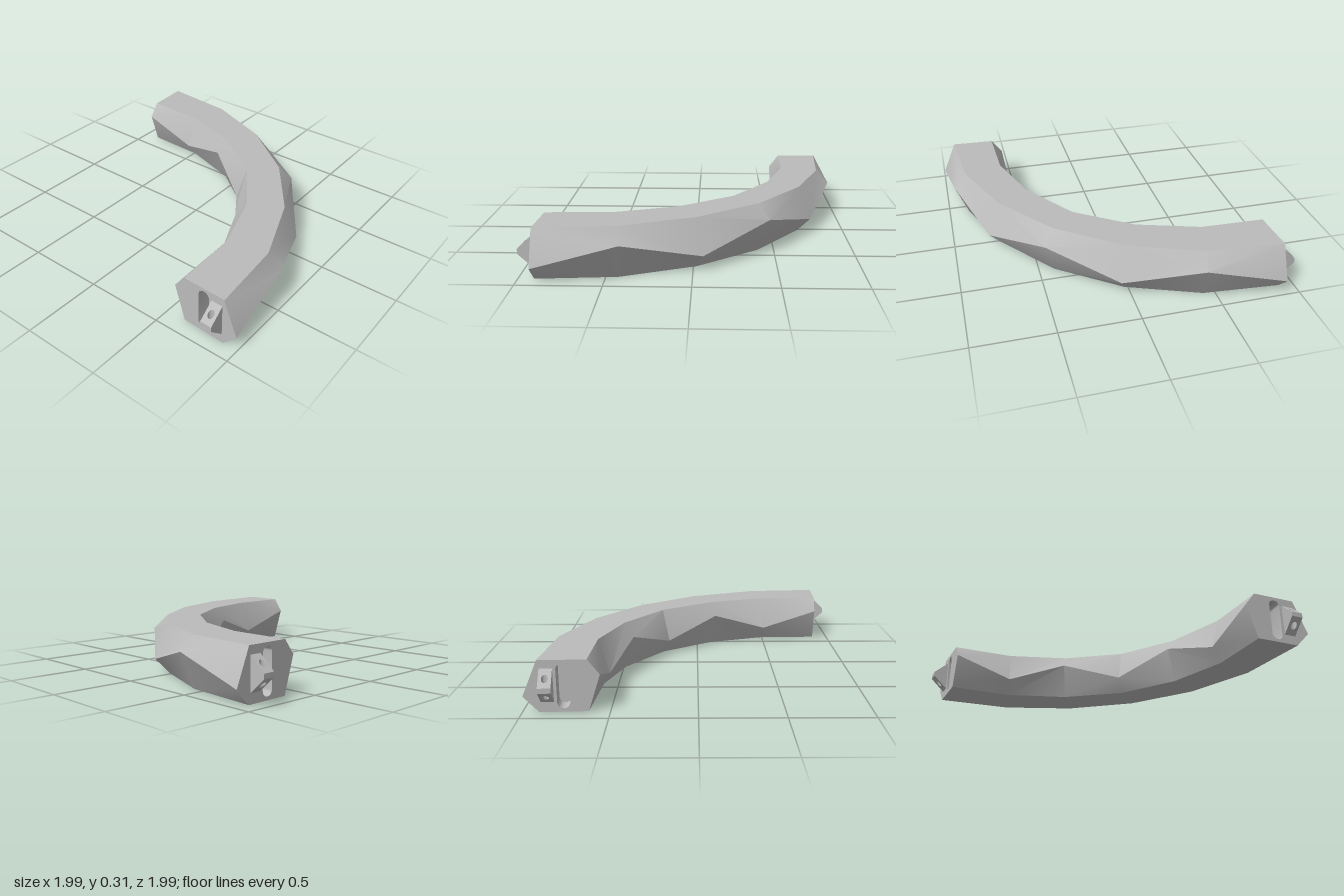
import * as THREE from 'three';
import { toCreasedNormals } from 'three/addons/utils/BufferGeometryUtils.js';

const TOP = 0.31, HIGH = 0.22, LOW = 0.095;
const TILT = 0.0455; // lean of the end faces

// Plan-view lines [x, z] of the curve's first half; the rest mirrors across x = z
const mirrorLine = (half) => [...half, ...half.slice(0, 3).reverse().map(([x, z]) => [z, x])];
const outerEdge = mirrorLine([[-0.91, 0.995], [-0.41, 0.95], [0.06, 0.77], [0.467, 0.467]]);
const outerRim = mirrorLine([[-0.906, 0.905], [-0.428, 0.865], [0.02, 0.69], [0.402, 0.402]]);
const innerRim = mirrorLine([[-0.893, 0.625], [-0.49, 0.612], [-0.1, 0.485], [0.246, 0.246]]);
const innerEdge = mirrorLine([[-0.89, 0.555], [-0.505, 0.545], [-0.135, 0.425], [0.2, 0.2]]);

// Six-sided tube whose side edges zigzag up and down
function bodyGeometry() {
  const pos = [], index = [];
  for (let i = 0; i < 7; i++) {
    const odd = i % 2 === 1;
    const put = ([x, z], y) => pos.push(x, y, z);
    put(innerRim[i], TOP);
    put(outerRim[i], TOP);
    put(outerEdge[i], odd ? HIGH : LOW);
    put(outerRim[i], 0);
    put(innerRim[i], 0);
    put(innerEdge[i], odd ? LOW : HIGH);
  }
  for (let i = 0; i < 6; i++) {
    for (let j = 0; j < 6; j++) {
      const k = (j + 1) % 6;
      const a = i * 6 + j, b = i * 6 + k, c = b + 6, d = a + 6;
      if (i < 3) index.push(a, b, c, a, c, d);
      else index.push(a, b, d, b, c, d);
    }
  }
  const g = new THREE.BufferGeometry();
  g.setAttribute('position', new THREE.Float32BufferAttribute(pos, 3));
  g.setIndex(index);
  return toCreasedNormals(g, 0.5);
}

const polygon = (pts) => new THREE.Shape(pts.map(([x, y]) => new THREE.Vector2(x, y)));

// Upright slot outline with round ends
function slotOutline(x) {
  const r = 0.037, p = new THREE.Shape();
  p.absarc(x, 0.29 - r, r, 0, Math.PI, false);
  p.absarc(x, 0.02 + r, r, Math.PI, Math.PI * 2, false);
  p.closePath();
  return p;
}

// Wedge-shaped tab with a vertical pin hole
function tabGeometry() {
  const w = 0.0375, len = 0.093;
  const shape = polygon([[-w, 0], [w, 0], [w, len], [-w, len]]);
  const hole = new THREE.Path();
  hole.absarc(0, 0.048, 0.019, 0, Math.PI * 2, true);
  shape.holes.push(hole);
  const g = new THREE.ExtrudeGeometry(shape, { depth: 2, bevelEnabled: false, curveSegments: 16 });
  g.translate(0, 0, -1);
  g.rotateX(Math.PI / 2);
  const p = g.attributes.position;
  for (let i = 0; i < p.count; i++) {
    p.setY(i, 0.16 + p.getY(i) * (0.1 - 0.085 * p.getZ(i) / len));
  }
  return toCreasedNormals(g, 0.6);
}

export function createModel() {
  const model = new THREE.Group();
  model.name = 'curvedSegment';
  const grey = new THREE.MeshStandardMaterial({ color: 0xbbbbbb });
  grey.name = 'grey';
  const add = (parent, name, geometry) => {
    const m = new THREE.Mesh(geometry, grey);
    m.name = name;
    parent.add(m);
    return m;
  };

  add(model, 'body', bodyGeometry());

  // Joint ends: local x runs across the face, local z points outward
  for (const s of [1, -1]) {
    const end = new THREE.Group();
    end.name = s > 0 ? 'rightEnd' : 'backEnd';

    const face = polygon([[0.625, TOP], [0.905, TOP], [0.995, LOW], [0.905, 0], [0.625, 0], [0.555, HIGH]]
      .map(([x, y]) => [s * x, y]));
    face.holes.push(slotOutline(s * 0.765));
    add(end, 'endFace', new THREE.ShapeGeometry(face));

    // Slot walls and floor
    const wall = polygon([[0.715, 0.01], [0.815, 0.01], [0.815, 0.3], [0.715, 0.3]]
      .map(([x, y]) => [s * x, y]));
    wall.holes.push(slotOutline(s * 0.765));
    const walls = new THREE.ExtrudeGeometry(wall, { depth: 0.099, bevelEnabled: false });
    add(end, 'slotWalls', toCreasedNormals(walls, 0.6)).position.z = -0.1;
    add(end, 'slotFloor', new THREE.ShapeGeometry(slotOutline(s * 0.765))).position.z = -0.099;

    add(end, 'tab', tabGeometry()).position.x = s * 0.857;

    const across = s > 0 ? new THREE.Vector3(-TILT, 0, 1) : new THREE.Vector3(-1, 0, TILT);
    across.normalize();
    const up = new THREE.Vector3(0, 1, 0);
    const out = new THREE.Vector3().crossVectors(across, up);
    end.quaternion.setFromRotationMatrix(new THREE.Matrix4().makeBasis(across, up, out));
    end.position.set(s > 0 ? -0.865 : 0, 0, s > 0 ? 0 : -0.865);
    model.add(end);
  }
  return model;
}
